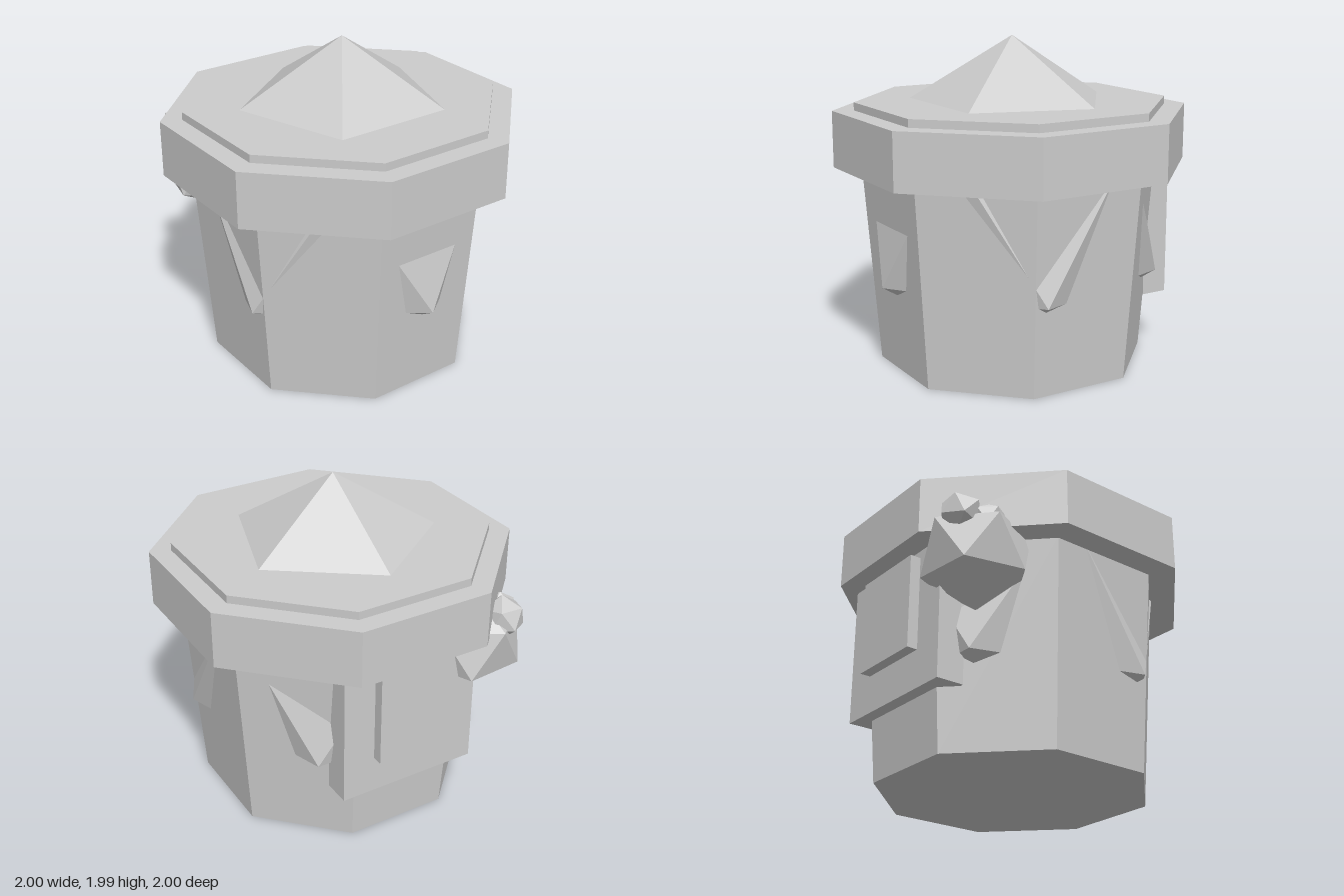
import * as THREE from 'three';
import { ConvexGeometry } from 'three/addons/geometries/ConvexGeometry.js';

export function createModel() {
  const model = new THREE.Group();
  model.name = 'octagonalBin';
  const grey = new THREE.MeshStandardMaterial({ color: 0xcccccc, flatShading: true });
  grey.name = 'plainGrey';

  const add = (name, geometry, x, y, z) => {
    const mesh = new THREE.Mesh(geometry, grey);
    mesh.name = name;
    mesh.position.set(x, y, z);
    model.add(mesh);
    return mesh;
  };

  // Octagonal prism with flat sides facing the axes; sizes are centre to flat side
  const octagon = (name, top, bottom, y0, y1) => {
    const k = 1 / Math.cos(Math.PI / 8);
    const geometry = new THREE.CylinderGeometry(top * k, bottom * k, y1 - y0, 8);
    geometry.rotateY(Math.PI / 8);
    return add(name, geometry, 0, (y0 + y1) / 2, 0);
  };

  // Icosahedron standing on a corner; turn sets the angle of its lower ring
  const icosahedron = (name, r, turn, x, y, z, rh = r) => {
    const points = [new THREE.Vector3(0, r, 0), new THREE.Vector3(0, -r, 0)];
    const ring = rh * 2 / Math.sqrt(5), h = r / Math.sqrt(5);
    for (let i = 0; i < 10; i++) {
      const a = THREE.MathUtils.degToRad(turn + 36 * i);
      points.push(new THREE.Vector3(ring * Math.cos(a), i % 2 ? h : -h, ring * Math.sin(a)));
    }
    return add(name, new ConvexGeometry(points), x, y, z);
  };

  // Tapered bin, wide rim and thin lid
  octagon('body', 0.846, 0.76, 0, 1.23);
  octagon('rim', 1, 1, 1.215, 1.557);
  octagon('lid', 0.88, 0.88, 1.54, 1.605);

  // Large crystal filling the bin: its tip tops the lid, its corners pierce the walls
  icosahedron('crystalCore', 0.996, 0, 0, 0.996, 0);

  // Cluster of lumps at the front corner
  icosahedron('largeLump', 0.316, 66.5, -0.68, 1.106, 0.52, 0.345);
  icosahedron('smallLump', 0.13, 40, -0.865, 1.28, 0.625).rotation.z = -0.19;
  icosahedron('tinyLump', 0.11, 60, -0.73, 1.245, 0.70);

  // Side panel with a raised plate
  add('sidePanel', new THREE.BoxGeometry(0.17, 1.03, 0.88), -0.78, 0.885, 0);
  add('raisedPlate', new THREE.BoxGeometry(0.08, 0.57, 0.48), -0.89, 0.885, 0);

  return model;
}
